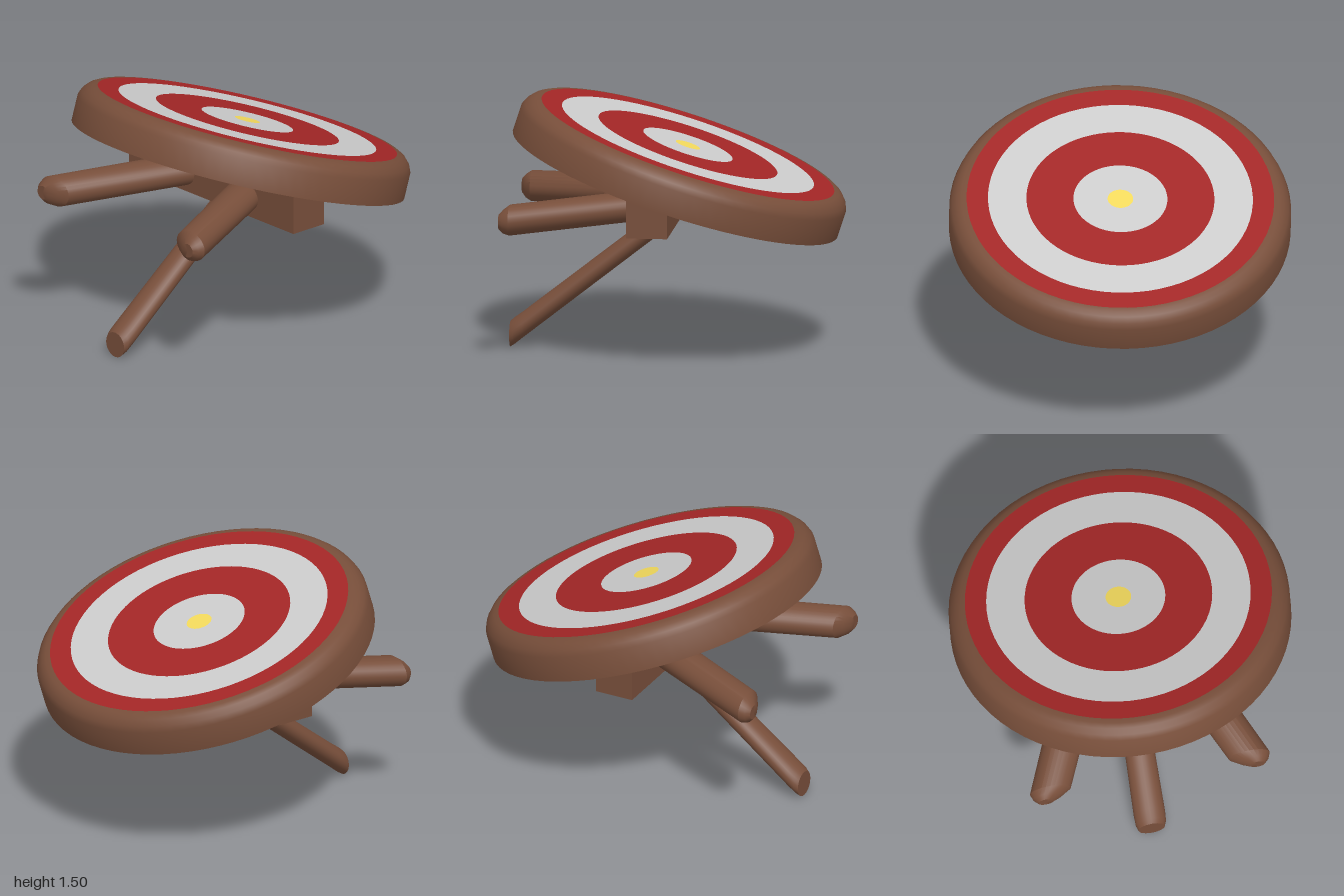
import * as THREE from 'three';
import { toCreasedNormals } from 'three/addons/utils/BufferGeometryUtils.js';

const paint = (color) => new THREE.MeshStandardMaterial({ color });

// Skin over elliptical sections [x, y, z, rx, ry], ordered towards +z
function loft(sections, sides = 28) {
  const pos = [], index = [];
  for (const [x, y, z, rx, ry] of sections) {
    for (let j = 0; j < sides; j++) {
      const a = (j / sides) * Math.PI * 2;
      pos.push(x + rx * Math.cos(a), y + ry * Math.sin(a), z);
    }
  }
  for (let i = 0; i < sections.length - 1; i++) {
    for (let j = 0; j < sides; j++) {
      const k = (j + 1) % sides;
      const a = i * sides + j, b = i * sides + k;
      index.push(a, b, b + sides, a, b + sides, a + sides);
    }
  }
  const g = new THREE.BufferGeometry();
  g.setAttribute('position', new THREE.Float32BufferAttribute(pos, 3));
  g.setIndex(index);
  return toCreasedNormals(g, 0.6);
}

export function createModel() {
  const model = new THREE.Group();
  model.name = 'targetOnTripod';
  const wood = paint(0x774e3a);
  const add = (parent, name, geometry, material = wood) => {
    const mesh = new THREE.Mesh(geometry, material);
    mesh.name = name;
    parent.add(mesh);
    return mesh;
  };

  // Tilted round board, raised towards the front
  const board = new THREE.Group();
  board.name = 'targetBoard';
  board.position.set(0, 0.99, 0.015);
  board.rotation.x = -Math.PI / 10;
  model.add(board);

  const thick = 0.24;
  const profile = [
    [0, 0], [1, 0], [1, 0.155], [0.985, 0.19], [0.958, 0.22], [0.93, 0.235], [0.9, thick],
  ].map(([r, y]) => new THREE.Vector2(r, y));
  add(board, 'boardBody', toCreasedNormals(new THREE.LatheGeometry(profile, 72), 0.7));

  // Painted rings closing the top face, from the outside in
  const red = paint(0xa32626), white = paint(0xcccccc), yellow = paint(0xf2d95c);
  const radii = [0.9, 0.775, 0.55, 0.275, 0.075, 0];
  const colors = [red, white, red, white, yellow];
  colors.forEach((material, i) => {
    const geometry = radii[i + 1] > 0
      ? new THREE.RingGeometry(radii[i + 1], radii[i], 72)
      : new THREE.CircleGeometry(radii[i], 72);
    geometry.rotateX(-Math.PI / 2);
    const name = i === colors.length - 1 ? 'bullseye' : `paintedRing${i + 1}`;
    add(board, name, geometry, material).position.y = thick;
  });

  // Crossbar under the board
  add(model, 'crossbar', new THREE.BoxGeometry(1.43, 0.24, 0.24)).position.set(0, 0.9, 0.105);

  // Two splayed legs with chamfered tips
  for (const [name, s] of [['leftLeg', 1], ['rightLeg', -1]]) {
    add(model, name, loft([
      [s * 0.23, 0.905, 0.12, 0, 0],
      [s * 0.23, 0.905, 0.12, 0.13, 0.09],
      [s * 0.592, 0.855, 0.925, 0.122, 0.09],
      [s * 0.615, 0.85, 0.96, 0.085, 0.07],
      [s * 0.63, 0.85, 0.985, 0.045, 0.042],
      [s * 0.63, 0.85, 0.985, 0, 0],
    ]));
  }

  // Long middle leg reaching down to the ground
  add(model, 'middleLeg', loft([
    [0, 0.845, 0, 0, 0],
    [0, 0.845, 0, 0.077, 0.075],
    [0, 0.135, 0.91, 0.093, 0.077],
    [0, 0.097, 0.96, 0.09, 0.079],
    [0, 0.078, 0.985, 0.078, 0.076],
    [0, 0.078, 0.985, 0, 0],
  ]));

  return model;
}
